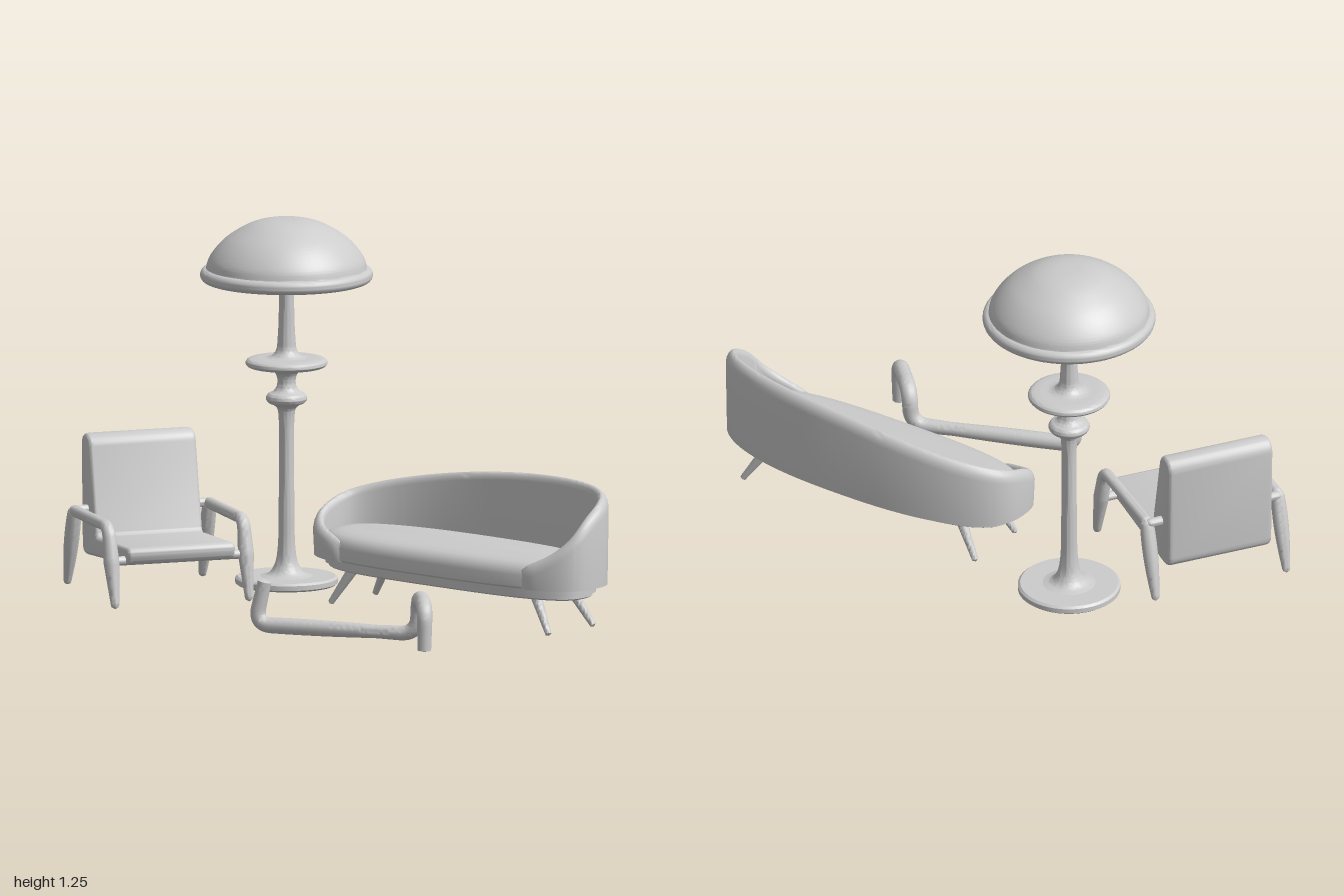
import * as THREE from 'three';
import { toCreasedNormals } from 'three/addons/utils/BufferGeometryUtils.js';
import { ParametricGeometry } from 'three/addons/geometries/ParametricGeometry.js';

const grey = new THREE.MeshStandardMaterial({ color: 0xcccccc, side: THREE.DoubleSide });
const V = (x, y, z) => new THREE.Vector3(x, y, z);

function part(name, geometry, crease = 0.7) {
  const mesh = new THREE.Mesh(toCreasedNormals(geometry, crease), grey);
  mesh.name = name;
  return mesh;
}

// Polyline with rounded corners
function roundedPath(points, radius) {
  const path = new THREE.CurvePath();
  let from = points[0];
  for (let i = 1; i < points.length - 1; i++) {
    const p = points[i];
    const toward = (q) => p.clone().add(q.clone().sub(p).setLength(radius));
    const a = toward(points[i - 1]), b = toward(points[i + 1]);
    path.add(new THREE.LineCurve3(from, a));
    path.add(new THREE.QuadraticBezierCurve3(a, p, b));
    from = b;
  }
  path.add(new THREE.LineCurve3(from, points[points.length - 1]));
  return path;
}

// Round bar along a path, radius varying with t, ends closed and rounded
function bar(name, path, radiusAt, endRound = 1, segs = 90) {
  const sides = 16;
  const geo = new THREE.TubeGeometry(path, segs, 1, sides, false);
  const pos = geo.attributes.position, v = V(0, 0, 0), length = path.getLength();
  for (let i = 0; i <= segs; i++) {
    const t = i / segs, c = path.getPointAt(t), r = radiusAt(t);
    const d = Math.min(1, (Math.min(t, 1 - t) * length) / (r * endRound));
    const k = r * Math.sqrt(1 - (1 - d) ** 2);
    for (let j = 0; j <= sides; j++) {
      const n = i * (sides + 1) + j;
      v.fromBufferAttribute(pos, n).sub(c).multiplyScalar(k).add(c);
      pos.setXYZ(n, v.x, v.y, v.z);
    }
  }
  return part(name, geo, 0.9);
}

const smoothLathe = (pts) => new THREE.CatmullRomCurve3(pts.map(([r, y]) => V(r, y, 0)))
  .getPoints(pts.length * 6).map((p) => new THREE.Vector2(Math.max(0, p.x), p.y));

function floorLamp() {
  const g = new THREE.Group();
  g.name = 'floorLamp';
  const base = [[0, 0.006], [0.165, 0.006], [0.173, 0.012], [0.173, 0.028], [0.165, 0.035], [0, 0.035]];
  g.add(part('lampBase', new THREE.LatheGeometry(base.map(([r, y]) => new THREE.Vector2(r, y)), 64)));
  const stem = [[0.092, 0.034], [0.06, 0.045], [0.04, 0.075], [0.03, 0.13], [0.027, 0.25], [0.027, 0.58],
    [0.032, 0.608], [0.046, 0.621], [0.062, 0.628], [0.07, 0.643], [0.062, 0.658], [0.046, 0.666], [0.033, 0.685],
    [0.034, 0.72], [0.055, 0.743], [0.105, 0.748], [0.131, 0.753], [0.139, 0.764], [0.131, 0.776], [0.105, 0.781],
    [0.055, 0.786], [0.036, 0.806], [0.03, 0.85], [0.026, 0.95], [0.026, 1.19]];
  g.add(part('lampStem', new THREE.LatheGeometry(smoothLathe(stem), 48), 0.9));
  // hollow shade: shallow bowl and cone inside, rolled rim, dome
  const rim = [];
  for (let i = 0; i <= 16; i++) {
    const a = -Math.PI * 0.95 + (i / 16) * Math.PI * 1.6;
    rim.push(new THREE.Vector2(0.27 + 0.022 * Math.cos(a), 1.066 + 0.023 * Math.sin(a)));
  }
  const dome = [[0.272, 1.088], [0.265, 1.115], [0.243, 1.15], [0.208, 1.187], [0.165, 1.217], [0.115, 1.242], [0.06, 1.255], [0, 1.258]];
  const inside = [[0, 1.135], [0.09, 1.142], [0.13, 1.17]].map(([r, y]) => new THREE.Vector2(r, y));
  g.add(part('lampShade', new THREE.LatheGeometry([...inside, ...rim, ...smoothLathe(dome)], 64)));
  g.position.set(0.25, 0, -0.443);
  return g;
}

function armchair() {
  const g = new THREE.Group();
  g.name = 'armchair';
  // side profile of seat and back: z, y, corner radius
  const corners = [[0.232, 0.168, 0.014], [0.24, 0.205, 0.016], [-0.11, 0.185, 0.03], [-0.185, 0.522, 0.03],
    [-0.25, 0.522, 0.035], [-0.238, 0.128, 0.03]];
  const shape = new THREE.Shape();
  corners.forEach(([x, y, r], i) => {
    const n = corners.length, p = new THREE.Vector2(x, y);
    const toward = (k) => new THREE.Vector2(...corners[(i + k + n) % n].slice(0, 2)).sub(p).setLength(r).add(p);
    const a = toward(-1), b = toward(1);
    if (i) shape.lineTo(a.x, a.y); else shape.moveTo(a.x, a.y);
    shape.quadraticCurveTo(x, y, b.x, b.y);
  });
  shape.closePath();
  const body = new THREE.ExtrudeGeometry(shape, { depth: 0.345, bevelSize: 0.012, bevelThickness: 0.018, bevelSegments: 4, curveSegments: 8 });
  body.translate(0, 0, -0.1725).rotateY(-Math.PI / 2);
  g.add(part('seatAndBack', body));
  for (const s of [-1, 1]) {
    const arm = roundedPath([V(s * 0.238, 0.012, 0.25), V(s * 0.24, 0.283, 0.18), V(s * 0.24, 0.277, -0.195)], 0.04);
    g.add(bar('armAndFrontLeg', arm, (t) => t < 0.25 ? 0.013 + 0.056 * t : Math.max(0.02, 0.027 - 0.03 * (t - 0.25))));
    const leg = new THREE.LineCurve3(V(s * 0.24, 0.292, -0.175), V(s * 0.24, 0.012, -0.258));
    g.add(bar('backLeg', leg, (t) => 0.012 + 0.014 * Math.sin(Math.PI * Math.min(1, 0.25 + 0.75 * t)), 1, 40));
  }
  for (const [y, z] of [[0.168, 0.205], [0.278, -0.19]]) {
    const rod = new THREE.LineCurve3(V(-0.25, y, z), V(0.25, y, z));
    g.add(bar('crossRod', rod, () => 0.016, 1, 60));
  }
  g.position.set(-0.187, 0, -0.638);
  g.rotation.y = -0.55;
  return g;
}

// Rounded oval sofa outline at angle a, squarer towards the open front
function oval(a, front, back, end) {
  const power = 2 / (Math.cos(a) < 0 ? 3 : 2.4);
  const pow = (c) => Math.sign(c) * Math.abs(c) ** power;
  const x = pow(Math.cos(a));
  return V(0.16 + x * (x < 0 ? front : back), 0, 0.402 - end * pow(Math.sin(a)));
}

// Stack of oval rings from [inset, y]; an inset of 1 closes the middle
function ovalStack(name, front, back, end, rings) {
  const n = rings.length - 1;
  return part(name, new ParametricGeometry((u, v, target) => {
    const [inset, y] = rings[Math.round(v * n)];
    const k = inset === 1 ? [0, 0, 0] : [front - inset, back - inset, end - inset];
    target.copy(oval(u * Math.PI * 2, ...k)).setY(y);
  }, 96, n));
}

function sofa() {
  const g = new THREE.Group();
  g.name = 'sofa';
  g.add(ovalStack('sofaBase', 0.16, 0.19, 0.555, [[1, 0.125], [0.02, 0.125], [0.012, 0.13], [0.012, 0.14], [0, 0.142], [0, 0.168], [1, 0.168]]));
  g.add(ovalStack('seatCushion', 0.187, 0.2, 0.56, [[1, 0.165], [0.008, 0.165], [0, 0.172], [0, 0.212], [0.004, 0.228],
    [0.014, 0.243], [0.03, 0.253], [0.06, 0.26], [0.1, 0.264], [1, 0.268]]));

  // wrapping backrest: section as [depth from outer face, drop below rim], null at the foot
  const section = [[0.004, null], [0, 0.05], [0.003, 0.03], [0.009, 0.014], [0.018, 0.003], [0.025, 0], [0.031, 0.004],
    [0.037, 0.014], [0.04, 0.03], [0.04, null], [0.004, null]];
  const n = section.length - 1, reach = 2.56;
  const rimHeight = ({ x, z }) => {
    const top = 0.485 - 0.13 * (z - 0.75) ** 2;
    return 0.23 + (top - 0.23) * (1 - Math.min(1, Math.abs(0.385 - x) / 0.41) ** 2.6);
  };
  const wall = new ParametricGeometry((u, v, target) => {
    const size = [0.2, 0.243, 0.595], a = (u * 2 - 1) * reach;
    const p = oval(a, ...size);
    const tangent = oval(a + 0.01, ...size).sub(oval(a - 0.01, ...size)).normalize();
    const inward = V(tangent.z, 0, -tangent.x);
    const tip = Math.min(1, Math.min(u, 1 - u) / 0.03), round = Math.sqrt(1 - (1 - tip) ** 2);
    const [depth, drop] = section[Math.round(v * n)];
    const y = drop === null ? 0.166 : rimHeight(p) - drop * 0.85 - 0.015 * (1 - round);
    target.copy(p).addScaledVector(inward, 0.02 + (depth - 0.02) * round).setY(Math.max(0.166, y));
  }, 128, n);
  g.add(part('backrest', wall, 0.9));

  // splayed tapered legs
  for (const sx of [-1, 1]) for (const sz of [-1, 1]) {
    const leg = new THREE.LineCurve3(V(0.163 + sx * 0.09, 0.135, 0.402 + sz * 0.4), V(0.163 + sx * 0.118, 0.008, 0.402 + sz * 0.482));
    g.add(bar('sofaLeg', leg, (t) => 0.019 - 0.009 * t, 0.3, 24));
  }
  return g;
}

// Bent bar that forms the low table's frame
function tableFrame() {
  const path = roundedPath([V(-0.455, 0.006, 0.755), V(-0.452, 0.16, 0.755), V(-0.312, 0.16, 0.612),
    V(-0.315, 0.032, 0.608), V(-0.525, 0.032, 0.068), V(-0.51, 0.186, 0.1)], 0.062);
  return bar('tableFrame', path, (t) => 0.023 + 0.005 * Math.abs(Math.sin(2 * Math.PI * t)), 0.25, 200);
}

export function createModel() {
  const model = new THREE.Group();
  model.name = 'loungeFurniture';
  model.add(floorLamp(), armchair(), sofa(), tableFrame());
  return model;
}
